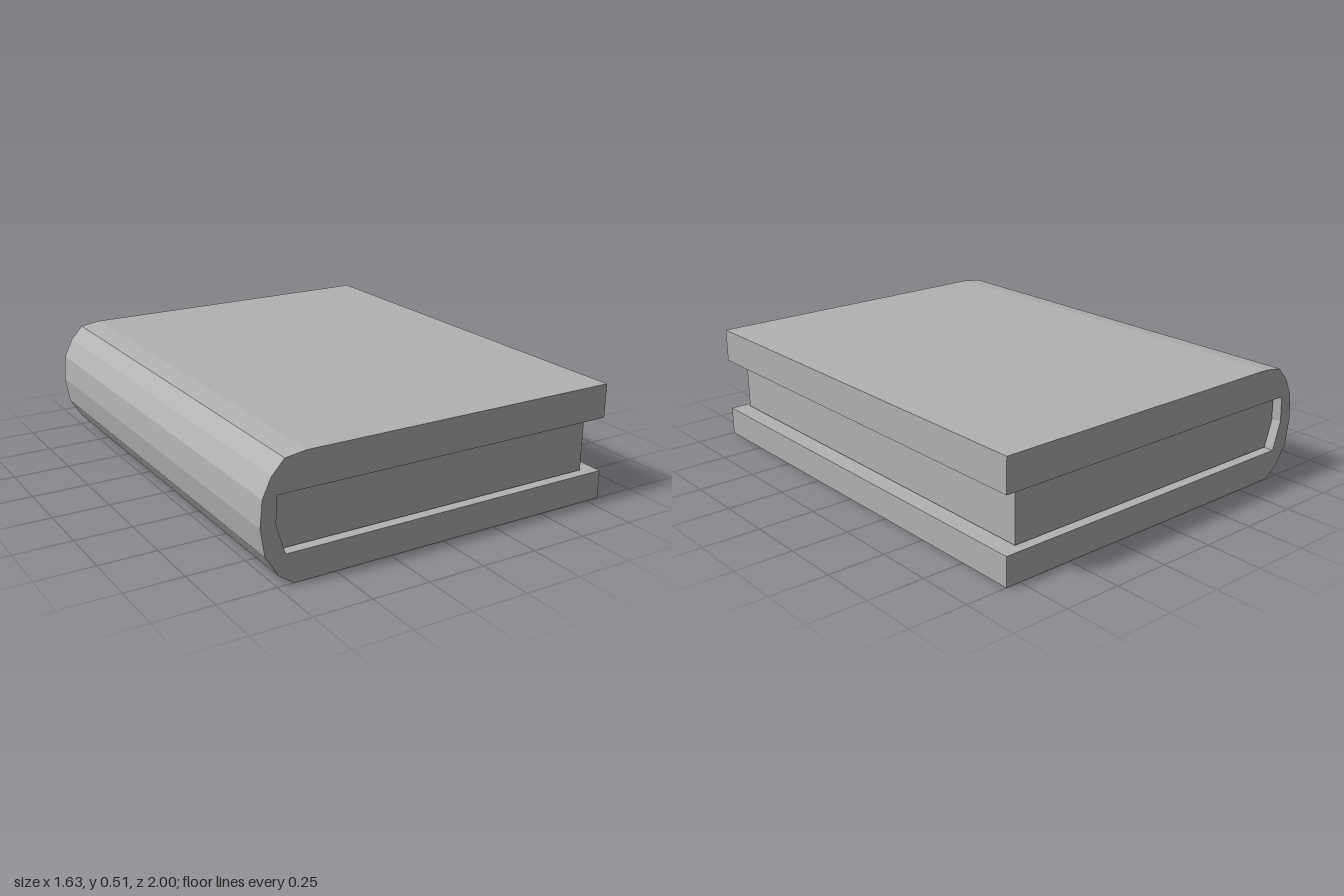
import * as THREE from 'three';

// Extrudes an x/y outline along z, centred on z = 0.
function extrudeOutline(points, depth) {
  const shape = new THREE.Shape(points.map(([x, y]) => new THREE.Vector2(x, y)));
  const geometry = new THREE.ExtrudeGeometry(shape, { depth, bevelEnabled: false });
  return geometry.translate(0, 0, -depth / 2);
}

export function createModel() {
  const book = new THREE.Group();
  book.name = 'book';

  const grey = new THREE.MeshStandardMaterial({ color: 0xb2b2b2 });
  grey.name = 'plain grey';

  // Thick cover: both boards and the rounded spine in one wrap-around section
  const outside = [
    [0.815, 0], [-0.68, 0], [-0.745, 0.045], [-0.8, 0.135], [-0.818, 0.25],
    [-0.808, 0.36], [-0.77, 0.44], [-0.715, 0.5], [-0.625, 0.513], [0.815, 0.513],
  ];
  const inside = [
    [0.815, 0.365], [-0.748, 0.365], [-0.753, 0.25], [-0.714, 0.126], [0.815, 0.126],
  ];
  const cover = new THREE.Mesh(extrudeOutline([...outside, ...inside], 2), grey);
  cover.name = 'cover';

  // Page block: set in from the cover on three sides, with a faceted spine edge
  const pageOutline = [
    [0.74, 0.13], [0.74, 0.364], [-0.741, 0.364], [-0.746, 0.25], [-0.708, 0.13],
  ];
  const pages = new THREE.Mesh(extrudeOutline(pageOutline, 1.92), grey);
  pages.name = 'pages';

  book.add(cover, pages);
  return book;
}
